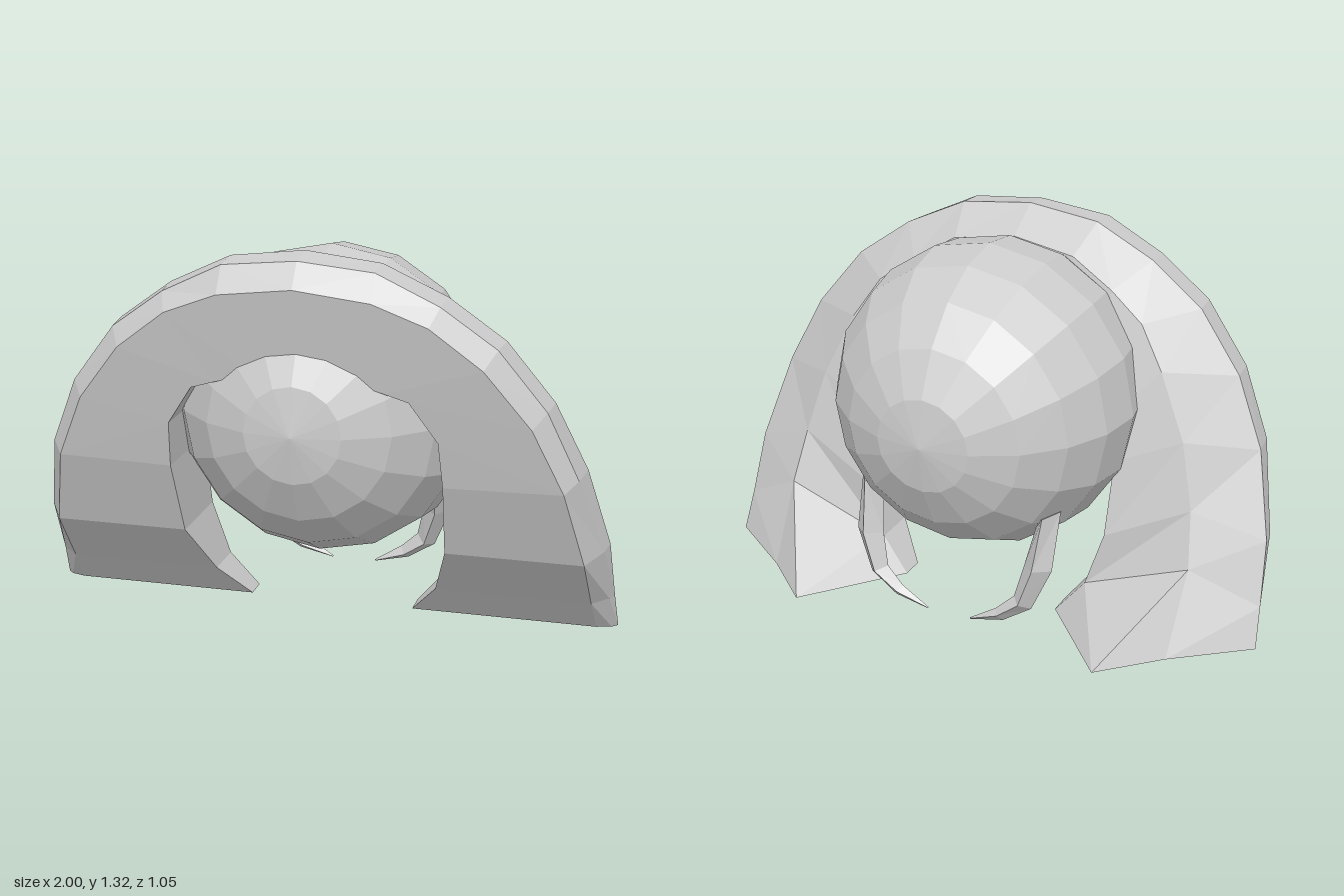
import * as THREE from 'three';

const shell = new THREE.MeshStandardMaterial({ color: 0xcccccc });
shell.name = 'pale grey';
shell.flatShading = true;

// Flat-shaded skin through a row of equal-sized rings, capped at the first ring
// and mirrored to the other side
function mirroredLoft(rings, name) {
  const pos = [];
  const flip = ([x, y, z]) => [-x, y, z];
  const tri = (a, b, c) => pos.push(...a, ...b, ...c, ...flip(a), ...flip(c), ...flip(b));
  const n = rings[0].length;
  for (let i = 0; i < rings.length - 1; i++) {
    for (let j = 0; j < n; j++) {
      const k = (j + 1) % n;
      const [p, q] = [rings[i], rings[i + 1]];
      tri(p[j], p[k], q[j]);
      tri(p[k], q[k], q[j]);
    }
  }
  const first = rings[0];
  for (let j = 0; j < n - 2; j++) tri(first[n - 1], first[j + 1], first[j]);
  const g = new THREE.BufferGeometry();
  g.setAttribute('position', new THREE.Float32BufferAttribute(pos, 3));
  g.computeVertexNormals();
  const mesh = new THREE.Mesh(g, shell);
  mesh.name = name;
  return mesh;
}

// Rails of one half of the arch, from the top centre down to the foot
const front = [[0, 1.22, 0.49], [0.25, 1.19, 0.485], [0.43, 1.12, 0.472], [0.6, 0.99, 0.45], [0.75, 0.8, 0.41],
  [0.85, 0.58, 0.36], [0.91, 0.31, 0.255], [0.92, 0.12, 0.1], [0.93, 0, 0.005]];
const ridge = [[0, 1.3, 0.43], [0.25, 1.275, 0.425], [0.455, 1.175, 0.41], [0.635, 1.045, 0.39], [0.79, 0.845, 0.355],
  [0.89, 0.615, 0.31], [0.965, 0.335, 0.17], [0.975, 0.13, 0.06], [0.98, 0, -0.01]];
const crown = [[0, 1.315, 0.325], [0.25, 1.285, 0.32], [0.46, 1.185, 0.305], [0.645, 1.05, 0.285], [0.8, 0.85, 0.25],
  [0.905, 0.62, 0.2], [0.975, 0.34, 0.1], [0.99, 0.13, 0.025], [1, 0, -0.03]];
const back = [[0, 1.235, 0.195], [0.22, 1.2, 0.185], [0.37, 1.11, 0.165], [0.49, 1.02, 0.14], [0.58, 0.88, 0.1],
  [0.68, 0.66, 0.06], [0.735, 0.44, 0.01], [0.76, 0.26, -0.06], [0.75, 0, -0.22]];
const inner = [[0, 0.94], [0.15, 0.93], [0.28, 0.89], [0.36, 0.865], [0.45, 0.73],
  [0.46, 0.57], [0.45, 0.31], [0.39, 0.12], [0.29, 0]];

// Depth of the leaning front face at a given height
function frontZ(y) {
  const i = Math.max(1, front.findIndex((p) => p[1] <= y));
  const [a, b] = [front[i - 1], front[i]];
  return THREE.MathUtils.mapLinear(y, a[1], b[1], a[2], b[2]);
}

function archRing([x, y], i) {
  // The back slopes on toward the body; the foot ends in a spur pointing backward
  const z = back[i][2] - (i < 7 ? 0.055 : 0);
  const innerBack = i === 8 ? [[0.56, 0, -0.4], [x, y, -0.08]] : [[x, y, z], [x, y, z + 0.02]];
  return [front[i], ridge[i], crown[i], back[i], ...innerBack, [x, y, frontZ(y)]];
}

// Tapered four-sided hook under the body: centre, half width, half depth
const hookPath = [
  [0.33, 0.45, -0.23, 0.045, 0.065], [0.315, 0.275, -0.288, 0.05, 0.055],
  [0.27, 0.145, -0.31, 0.036, 0.042], [0.19, 0.085, -0.32, 0.024, 0.026], [0.08, 0.04, -0.32, 0.003, 0.003],
];
function hookRing([x, y, z, w, d], i) {
  const t = Math.min(1, i * 0.5 - 0.5); // rings turn as the hook bends inward
  const [c, s] = [Math.cos(t) * w, Math.sin(t) * w];
  return [[x, y + d * 0.2, z - d], [x + c, y - s, z], [x, y - d * 0.2, z + d], [x - c, y + s, z]];
}

export function createModel() {
  const model = new THREE.Group();
  model.name = 'archedCreature';

  // Faceted round body with its poles at front and back
  const ball = new THREE.SphereGeometry(0.525, 16, 10).rotateX(Math.PI / 2);
  const body = new THREE.Mesh(ball, shell);
  body.name = 'body';
  body.position.y = 0.75;
  model.add(body);

  // Arch, from each foot up to the top centre
  model.add(mirroredLoft(inner.map(archRing).reverse(), 'arch'));

  // Pair of hooks
  model.add(mirroredLoft(hookPath.map(hookRing), 'hooks'));
  return model;
}
